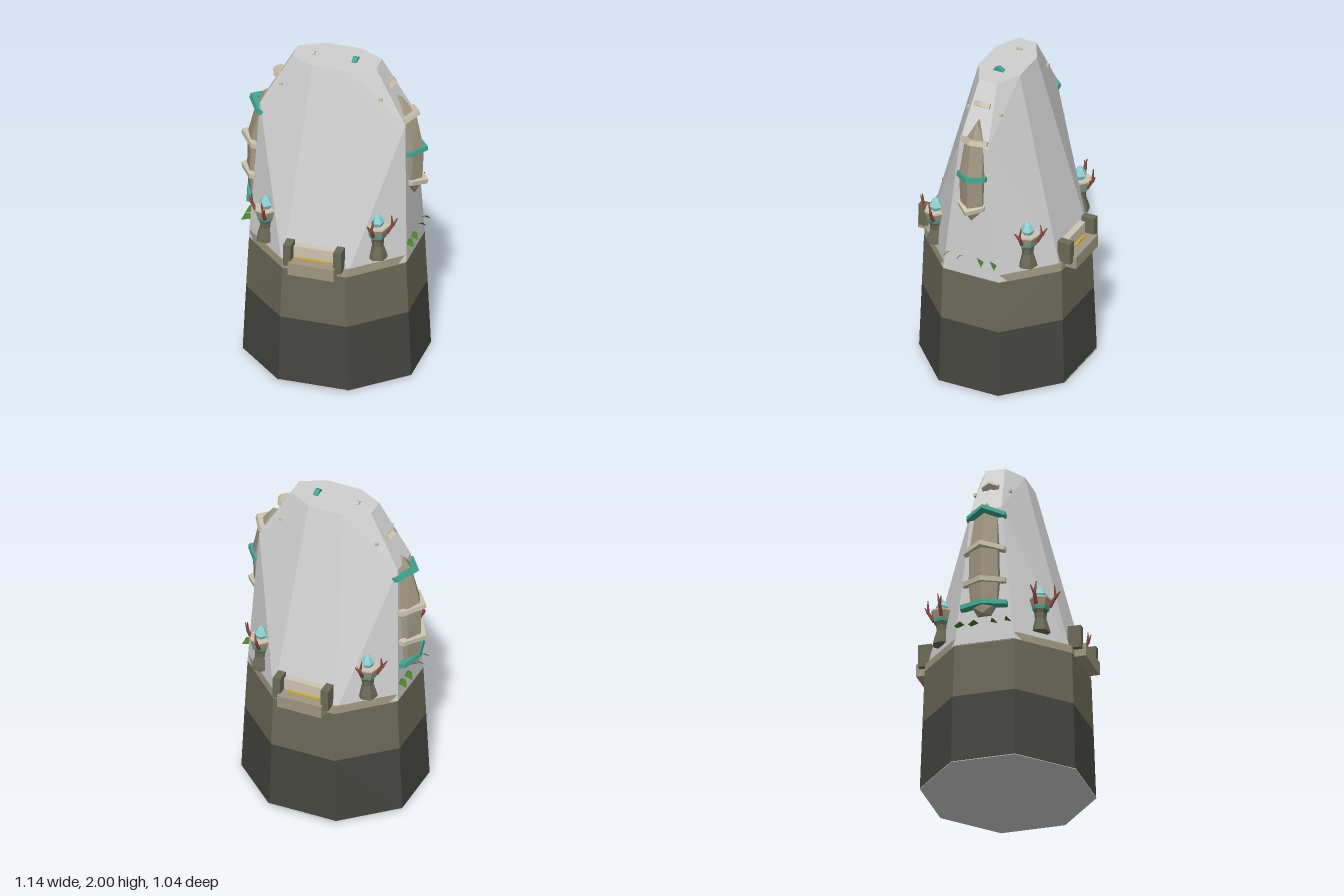
import * as THREE from 'three';
import { ConvexGeometry } from 'three/addons/geometries/ConvexGeometry.js';

const mat = (name, color, side = THREE.FrontSide) => {
  const m = new THREE.MeshStandardMaterial({ color, side });
  m.name = name;
  return m;
};

export function createModel() {
  const root = new THREE.Group();
  root.name = 'tower';
  const M = {
    shell: mat('paleShell', 0xd0d0d1),
    dark: mat('darkStone', 0x454640),
    olive: mat('oliveStone', 0x6b6957),
    tan: mat('tanStone', 0xa09781),
    bone: mat('bone', 0xcdc5b0),
    teal: mat('teal', 0x43a590),
    crystal: mat('crystal', 0x8fd0d2),
    coral: mat('coral', 0x8c4c42),
    leaf: mat('leaf', 0x4b7d2c, THREE.DoubleSide),
    gold: mat('gold', 0xcba83c),
  };

  // Adds a faceted mesh
  const add = (parent, name, geometry, material, x = 0, y = 0, z = 0) => {
    const g = geometry.index ? geometry.toNonIndexed() : geometry;
    g.computeVertexNormals();
    const mesh = new THREE.Mesh(g, material);
    mesh.name = name;
    mesh.position.set(x, y, z);
    parent.add(mesh);
    return mesh;
  };
  const box = (parent, name, m, x0, x1, y0, y1, z0, z1) =>
    add(parent, name, new THREE.BoxGeometry(x1 - x0, y1 - y0, z1 - z0), m,
      (x0 + x1) / 2, (y0 + y1) / 2, (z0 + z1) / 2);

  // Octagonal ring of points, long sides facing x and z
  const ring = (y, hx, hz, cx = 0.012, k = 0.41) => {
    const pts = [];
    for (const a of [-1, 1]) for (const b of [-1, 1]) {
      pts.push(new THREE.Vector3(cx + a * hx, y, b * hz * k));
      pts.push(new THREE.Vector3(cx + a * hx * k, y, b * hz));
    }
    return pts;
  };
  const tier = (name, m, ...rings) => add(root, name, new ConvexGeometry(rings.flat()), m);

  // Stone base in three tiers
  tier('footPlate', M.shell, ring(0, 0.514, 0.476), ring(0.008, 0.513, 0.4755));
  tier('lowerBase', M.dark, ring(0.004, 0.516, 0.475), ring(0.43, 0.497, 0.461));
  tier('upperBase', M.olive, ring(0.43, 0.497, 0.461), ring(0.76, 0.481, 0.45));
  tier('baseRim', M.tan, ring(0.76, 0.479, 0.449), ring(0.81, 0.474, 0.446));

  // Faceted shell, pinched towards the roof
  const shoulder = [];
  for (const a of [-1, 1]) for (const b of [-1, 1]) {
    shoulder.push(new THREE.Vector3(0.015 + a * 0.445, 1.64, b * 0.0925));
  }
  tier('shell', M.shell, ring(0.765, 0.483, 0.441), shoulder, ring(1.975, 0.257, 0.135, 0.014, 0.43));

  // Balconies, front and back
  for (const back of [false, true]) {
    const g = new THREE.Group();
    g.name = back ? 'backBalcony' : 'frontBalcony';
    g.scale.z = back ? -1 : 1;
    root.add(g);
    box(g, 'balconySlab', M.tan, -0.13, 0.153, 0.76, 0.84, 0.40, 0.518);
    box(g, 'balconyPanel', M.bone, -0.115, 0.15, 0.84, 0.915, 0.39, 0.442);
    box(g, 'goldStrip', M.gold, -0.086, 0.115, 0.84, 0.848, 0.445, 0.461);
    box(g, 'balconyPost', M.olive, -0.164, -0.117, 0.805, 0.945, 0.415, 0.497);
    box(g, 'balconyPost', M.olive, 0.143, 0.19, 0.805, 0.945, 0.415, 0.497);
  }

  // Tapered rod between two points
  const rod = (parent, name, m, a, b, r0, r1) => {
    const A = new THREE.Vector3(...a), B = new THREE.Vector3(...b);
    const d = B.clone().sub(A);
    const mesh = add(parent, name, new THREE.CylinderGeometry(r1, r0, d.length(), 5), m);
    mesh.position.copy(A).add(B).multiplyScalar(0.5);
    mesh.quaternion.setFromUnitVectors(new THREE.Vector3(0, 1, 0), d.normalize());
  };
  const lathe = (parent, name, m, profile) => add(parent, name,
    new THREE.LatheGeometry(profile.map(p => new THREE.Vector2(...p)), 6), m);

  // Crystal braziers on the four diagonals
  for (const sx of [-1, 1]) for (const sz of [-1, 1]) {
    const g = new THREE.Group();
    g.name = 'brazier';
    g.position.set(0.012 + sx * 0.342, 0, sz * 0.3);
    g.rotation.y = Math.atan2(sx, sz);
    root.add(g);
    lathe(g, 'brazierPedestal', M.olive,
      [[0, 0.845], [0.06, 0.845], [0.055, 0.87], [0.036, 0.93], [0.038, 0.965], [0.05, 0.995], [0, 0.995]]);
    lathe(g, 'brazierBand', M.teal, [[0, 0.985], [0.052, 0.985], [0.055, 1.003], [0, 1.003]]);
    lathe(g, 'brazierCup', M.tan, [[0, 1.003], [0.055, 1.003], [0.068, 1.05], [0, 1.05]]);
    lathe(g, 'brazierRim', M.bone, [[0, 1.05], [0.07, 1.05], [0.07, 1.06], [0, 1.06]]);
    lathe(g, 'brazierCrystal', M.crystal, [[0.03, 1.06], [0.042, 1.085], [0.022, 1.122], [0, 1.145]]);
    for (const s of [-1, 1]) {
      rod(g, 'coralBranch', M.coral, [s * 0.045, 1.01, 0.03], [s * 0.07, 1.07, 0.055], 0.013, 0.01);
      rod(g, 'coralBranch', M.coral, [s * 0.07, 1.065, 0.055], [s * 0.1, 1.11, 0.06], 0.01, 0.003);
      rod(g, 'coralBranch', M.coral, [s * 0.07, 1.065, 0.055], [s * 0.06, 1.14, 0.062], 0.01, 0.003);
    }
  }

  // Chevron collar: the tip points outward (+x), arms sweep back
  const collar = (parent, m, x, y, w, d, tilt, t = 0.045, h = 0.03) => {
    const s = new THREE.Shape([[0, 0], [-d, w], [-d - t, w], [-t, 0], [-d - t, -w], [-d, -w]]
      .map(p => new THREE.Vector2(...p)));
    const geo = new THREE.ExtrudeGeometry(s, { depth: h, bevelEnabled: false });
    geo.translate(0, 0, -h / 2).rotateX(Math.PI / 2);
    add(parent, 'collar', geo, m, x, y, 0).rotation.z = tilt;
  };
  // Spine: hull of five-point sections [y, outer x, half width]
  const spine = (parent, rows) => add(parent, 'spine', new ConvexGeometry(rows.flatMap(([y, x, w]) => [
    [x, 0], [x - 0.045, w], [x - 0.045, -w], [x - 0.12, w], [x - 0.12, -w],
  ].map(([px, pz]) => new THREE.Vector3(px, y, pz)))), M.tan);

  const leftSide = new THREE.Group();
  leftSide.name = 'leftSpine';
  spine(leftSide, [[1.14, 0.492, 0.005], [1.22, 0.535, 0.07], [1.45, 0.545, 0.075], [1.66, 0.5, 0.06], [1.78, 0.41, 0.003]]);
  collar(leftSide, M.bone, 0.52, 1.69, 0.088, 0.06, 0.35);
  collar(leftSide, M.teal, 0.57, 1.455, 0.092, 0.075, 0.15);
  collar(leftSide, M.bone, 0.57, 1.225, 0.083, 0.075, -0.2);
  collar(leftSide, M.bone, 0.372, 1.88, 0.05, 0.025, 0.65, 0.04);

  const rightSide = new THREE.Group();
  rightSide.name = 'rightSpine';
  rightSide.rotation.y = Math.PI;
  spine(rightSide, [[0.93, 0.52, 0.04], [1.0, 0.53, 0.08], [1.13, 0.537, 0.09], [1.36, 0.535, 0.085], [1.6, 0.475, 0.07], [1.68, 0.425, 0.01]]);
  collar(rightSide, M.teal, 0.52, 1.62, 0.118, 0.085, 0.35);
  collar(rightSide, M.bone, 0.57, 1.365, 0.125, 0.095, 0.12);
  collar(rightSide, M.bone, 0.57, 1.135, 0.13, 0.085, -0.1);
  collar(rightSide, M.teal, 0.535, 1.0, 0.142, 0.04, 0.15);
  collar(rightSide, M.bone, 0.37, 1.84, 0.05, 0.025, 0.65, 0.04);
  root.add(leftSide, rightSide);

  // Small fins poking out of the roof
  collar(root, M.teal, 0.127, 2.0, 0.032, 0.018, Math.PI / 2, 0.03, 0.03);
  collar(root, M.bone, -0.132, 1.99, 0.018, 0.01, Math.PI / 2, 0.03, 0.022);

  // Studs on the upper slopes
  for (const sx of [-1, 1]) for (const sz of [-1, 1]) {
    add(root, 'stud', new THREE.BoxGeometry(0.022, 0.018, 0.018), M.bone, 0.008 + sx * 0.305, 1.8, sz * 0.105);
  }

  // Leaves sprouting at the foot of both spines
  for (const side of [leftSide, rightSide]) for (const s of [-1, 1]) for (const z of [0.035, 0.12]) {
    const x = side === leftSide ? 0.485 : 0.462;
    const reach = side === leftSide ? 0.05 : 0.06;
    const g = new THREE.BufferGeometry();
    g.setAttribute('position', new THREE.Float32BufferAttribute([
      x, 0.89, s * z, x, 0.875, s * (z + 0.045), x + reach * 0.7, 0.9, s * (z + 0.02),
      x, 0.875, s * (z + 0.045), x + reach, 0.865, s * (z + 0.05), x + reach * 0.7, 0.9, s * (z + 0.02),
    ], 3));
    add(side, 'leaf', g, M.leaf);
  }

  return root;
}
